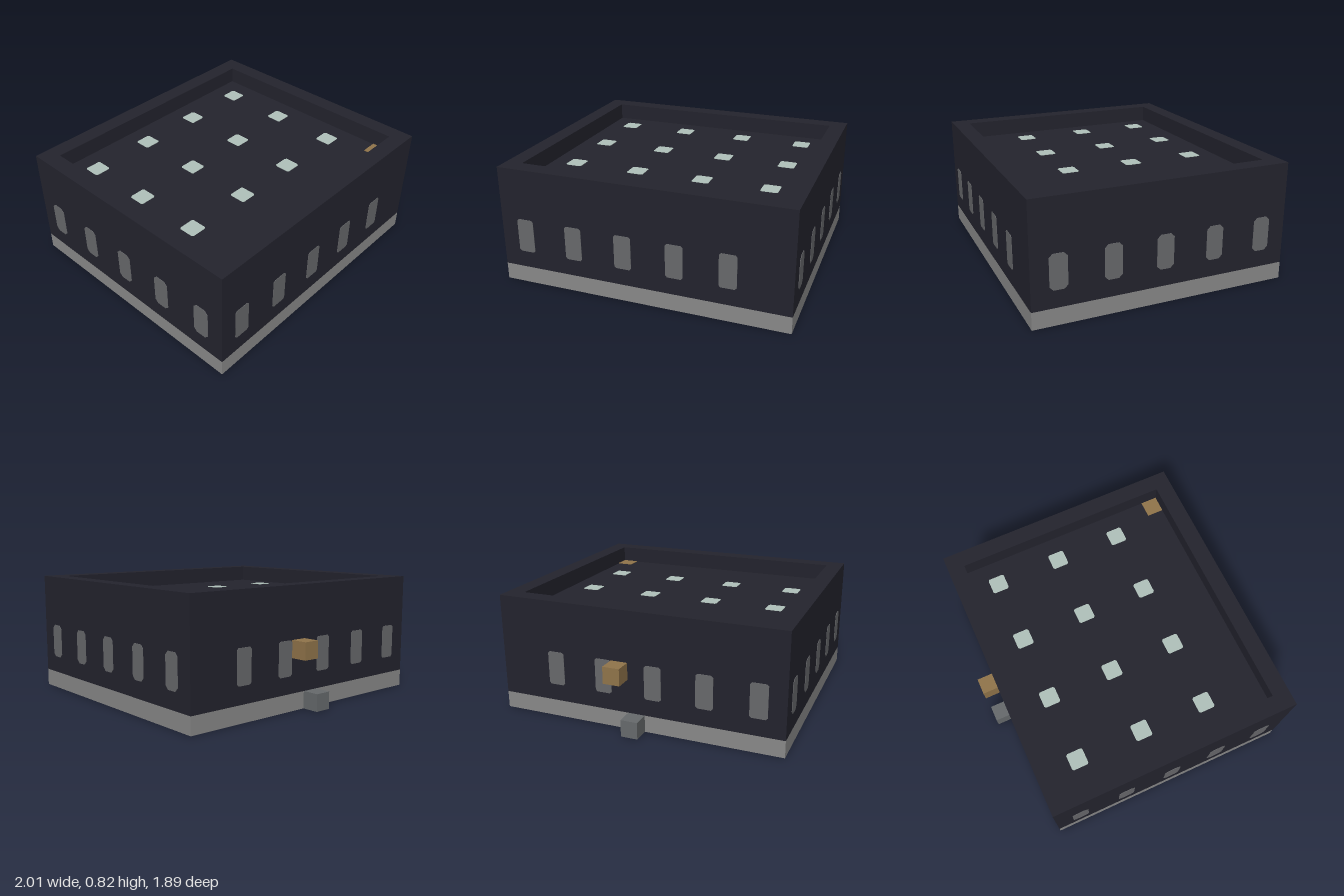
import * as THREE from 'three';

const U = 2 / 17; // building module: 17 wide, 15 deep, 7 tall
const Z0 = -7 * U, Z1 = 8 * U, ZC = U / 2;

const mat = (name, color) => new THREE.MeshStandardMaterial({ name, color });

// Rectangle with clipped corners, centred on the origin
function clippedRect(w, h, c) {
  const x = w / 2, y = h / 2;
  return new THREE.Shape([
    [-x + c, -y], [x - c, -y], [x, -y + c], [x, y - c],
    [x - c, y], [-x + c, y], [-x, y - c], [-x, -y + c],
  ].map(([a, b]) => new THREE.Vector2(a, b)));
}

export function createModel() {
  const model = new THREE.Group();
  model.name = 'building';
  const wall = mat('dark wall', 0x23232d);
  const stone = mat('grey stone', 0x888888);
  const glass = mat('window grey', 0x67686b);
  const lamp = mat('pale green', 0xb0c1ba);
  const wood = mat('brown wood', 0x90744a);
  const step = mat('step grey', 0x666a6c);

  const add = (name, geometry, material, x, y, z, parent = model) => {
    const mesh = new THREE.Mesh(geometry, material);
    mesh.name = name;
    mesh.position.set(x, y, z);
    parent.add(mesh);
    return mesh;
  };
  const box = (w, h, d) => new THREE.BoxGeometry(w, h, d);
  const plate = (w, h, c) =>
    new THREE.ExtrudeGeometry(clippedRect(w, h, c), { depth: 0.003, bevelEnabled: false });

  // Plinth, walls up to the sunken roof
  add('plinth', box(2, U, 15 * U), stone, 0, U / 2, ZC);
  add('walls', box(2, 5 * U, 15 * U), wall, 0, 3.5 * U, ZC);

  // Parapet ring around the roof
  const ring = clippedRect(2, 15 * U, 0);
  ring.holes.push(clippedRect(15 * U, 13 * U, 0));
  const ringGeo = new THREE.ExtrudeGeometry(ring, { depth: U, bevelEnabled: false });
  ringGeo.rotateX(-Math.PI / 2);
  add('parapet', ringGeo, wall, 0, 6 * U, ZC);

  // Five windows on each of the four walls
  const windows = new THREE.Group();
  windows.name = 'windows';
  model.add(windows);
  const faceWindow = plate(U, 2 * U, 0.013);
  const sideWindow = plate(U, 2 * U, 0.024);
  for (let i = 0; i < 5; i++) {
    const x = (-7 + 3 * i) * U, z = (-5.5 + 3 * i) * U, y = 3 * U;
    add('frontWindow', faceWindow, glass, x, y, Z1, windows);
    add('backWindow', faceWindow, glass, x, y, Z0, windows).rotation.y = Math.PI;
    add('leftWindow', sideWindow, glass, 1, y, z, windows).rotation.y = Math.PI / 2;
    add('rightWindow', sideWindow, glass, -1, y, z, windows).rotation.y = -Math.PI / 2;
  }

  // Grid of roof lights
  const lights = new THREE.Group();
  lights.name = 'roofLights';
  model.add(lights);
  const lightGeo = plate(U, U, 0.01);
  for (let i = 0; i < 4; i++) {
    for (let j = 0; j < 3; j++) {
      add('roofLight', lightGeo, lamp, (-6 + 4 * i) * U, 6 * U, (-4.5 + 4 * j) * U, lights)
        .rotation.x = -Math.PI / 2;
    }
  }

  // Roof hatch in the front corner, dark floor panel underneath
  add('roofHatch', box(U, 0.004, U), wood, 7 * U, 6 * U + 0.002, 6.5 * U);
  add('floorPanel', box(3 * U, 0.004, 3 * U), wall, 6 * U, 0.001, 2.5 * U);

  // Blocks on the back wall
  add('backStep', box(U, U, U), step, 0, U / 2, Z0 - U / 2);
  add('backBlock', box(U, U, U), wood, U, 3.5 * U, Z0 - U / 2);

  return model;
}
